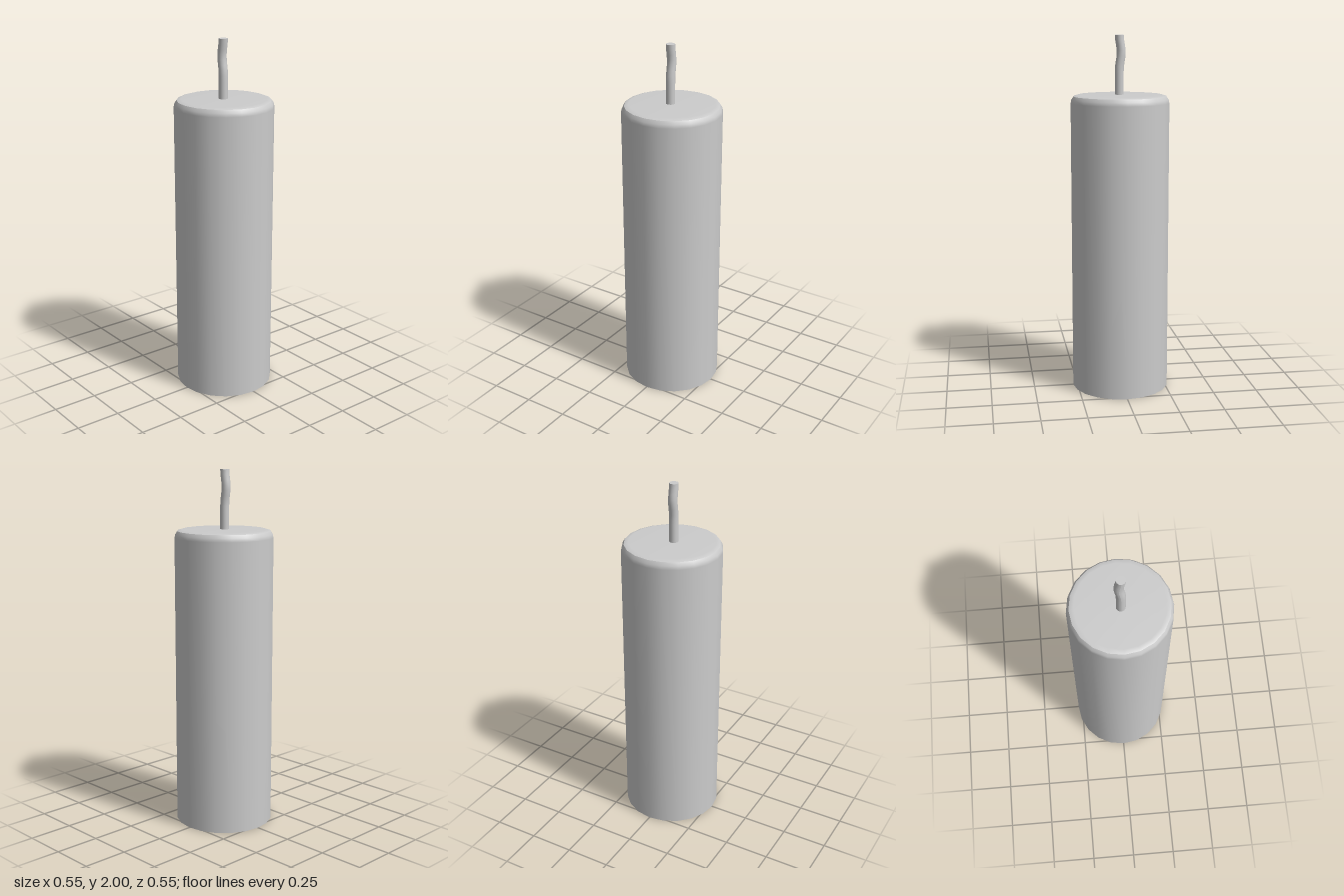
import * as THREE from 'three';

const material = new THREE.MeshStandardMaterial({ color: 0xcccccc });

// Each lathed section is smooth inside and meets its neighbours at a sharp edge
function lathe(name, profile) {
  const points = profile.map(([r, y]) => new THREE.Vector2(r, y));
  const mesh = new THREE.Mesh(new THREE.LatheGeometry(points, 20), material);
  mesh.name = name;
  return mesh;
}

// Upright wick whose rings are shifted sideways to form a gentle kink
function makeWick() {
  const bottom = 1.66, top = 2, height = top - bottom;
  const geometry = new THREE.CylinderGeometry(0.025, 0.025, height, 20, 12);
  geometry.translate(0, (bottom + top) / 2, 0.008);
  const position = geometry.attributes.position;
  for (let i = 0; i < position.count; i++) {
    const t = Math.max(0, (position.getY(i) - 1.81) / 0.19);
    position.setX(i, position.getX(i) + 0.003 - 0.011 * Math.sin(Math.PI * t) ** 2);
  }
  geometry.computeVertexNormals();
  const mesh = new THREE.Mesh(geometry, material);
  mesh.name = 'wick';
  return mesh;
}

export function createModel() {
  const model = new THREE.Group();
  model.name = 'candle';

  // Wax body: slightly recessed base, straight wall with bevel, softly rounded top
  model.add(
    lathe('base', [[0, 0.012], [0.272, 0.012]]),
    lathe('baseRim', [[0.272, 0.012], [0.275, 0]]),
    lathe('wall', [[0.275, 0], [0.275, 1.63], [0.271, 1.65], [0.26, 1.667]]),
    lathe('topFace', [[0.26, 1.667], [0.235, 1.675], [0, 1.675]]),
    makeWick(),
  );
  return model;
}
